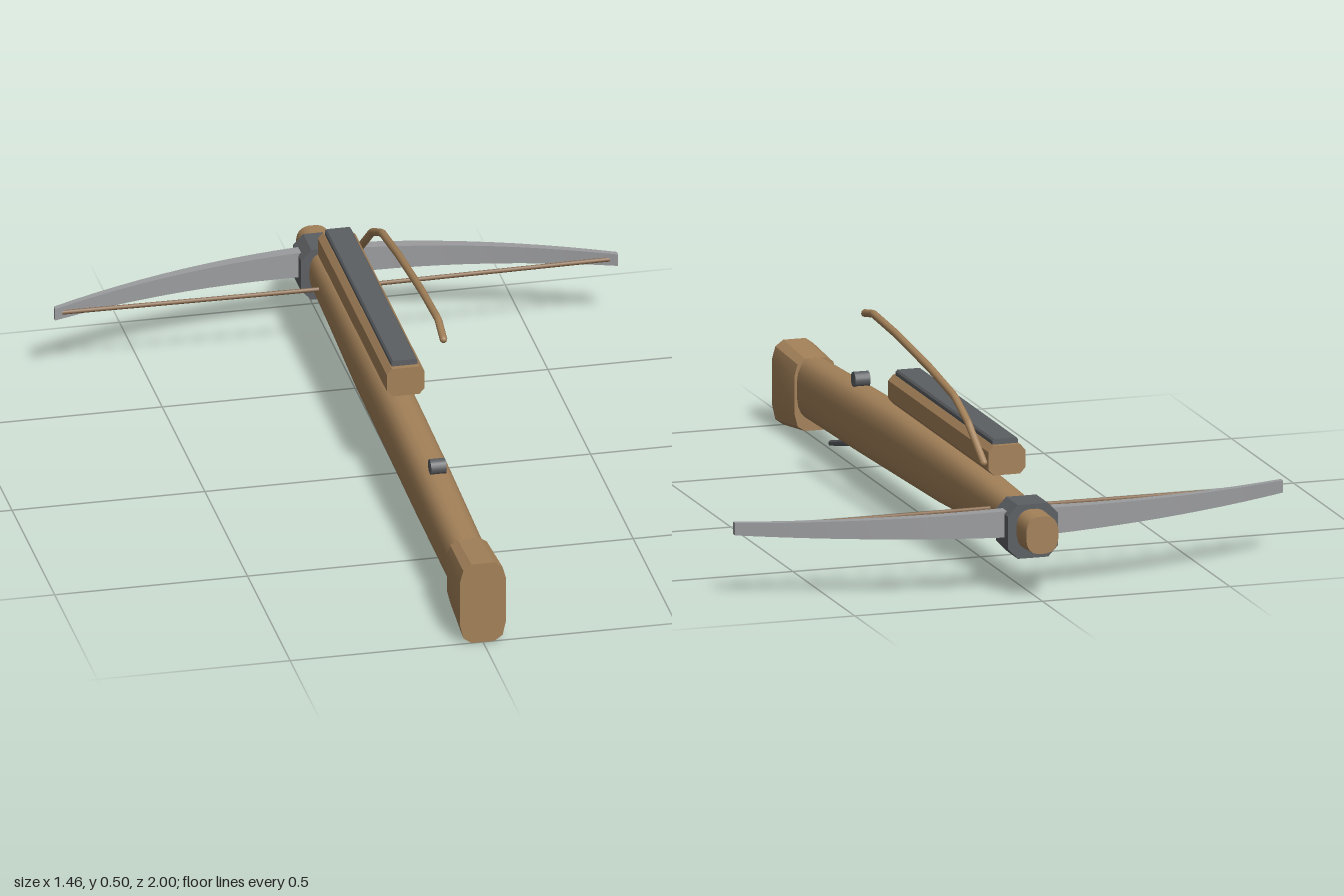
import * as THREE from 'three';
import { toCreasedNormals } from 'three/addons/utils/BufferGeometryUtils.js';

const mat = (color) => new THREE.MeshStandardMaterial({ color });

// Skin a closed solid over rings of [x, y, z]; rings run counter-clockwise seen from the first end
function loft(rings, crease = 0.6) {
  const n = rings[0].length, pos = [], idx = [];
  rings.forEach((r) => r.forEach((p) => pos.push(...p)));
  for (let i = 0; i < rings.length - 1; i++) {
    for (let j = 0; j < n; j++) {
      const a = i * n + j, b = i * n + (j + 1) % n;
      idx.push(a, a + n, b, b, a + n, b + n);
    }
  }
  const last = (rings.length - 1) * n;
  for (let j = 1; j < n - 1; j++) idx.push(0, j, j + 1, last, last + j + 1, last + j);
  const g = new THREE.BufferGeometry();
  g.setAttribute('position', new THREE.Float32BufferAttribute(pos, 3));
  g.setIndex(idx);
  return toCreasedNormals(g, crease);
}

// Place a unit outline (x -1..1, y 0..1) at each [z, halfWidth, bottom, top]
const alongZ = (outline, sections) => sections.map(([z, w, y0, y1]) =>
  outline.map(([x, y]) => [x * w, y0 + y * (y1 - y0), z]));

// Mirror the right half of an outline (bottom to top) to close it
const mirrored = (half) => [...half, ...half.map(([x, y]) => [-x, y]).reverse()];

const octagon = (cx, cy) => mirrored([[1 - cx, 0], [1, cy], [1, 1 - cy], [1 - cx, 1]]);

function rounded(count, power) {
  const e = 2 / power;
  return Array.from({ length: count }, (_, i) => {
    const a = ((i + 0.5) / count) * Math.PI * 2, c = Math.cos(a), s = Math.sin(a);
    return [Math.sign(c) * Math.abs(c) ** e, 0.5 + 0.5 * Math.sign(s) * Math.abs(s) ** e];
  });
}

export function createModel() {
  const group = new THREE.Group();
  const wood = mat(0xa38159), iron = mat(0x5c5f62), steel = mat(0x9b9c9e);
  const cord = mat(0x86674a);
  const add = (name, geometry, material) => {
    const mesh = new THREE.Mesh(geometry, material);
    mesh.name = name;
    group.add(mesh);
    return mesh;
  };

  // Long tapering stock
  add('stock', loft(alongZ(rounded(20, 2.7), [
    [0.86, 0.05, 0.055, 0.213], [0.4, 0.053, 0.066, 0.232], [0.1, 0.053, 0.075, 0.242],
    [-0.25, 0.053, 0.086, 0.245], [-0.6, 0.048, 0.105, 0.238], [-0.85, 0.045, 0.118, 0.23],
    [-1, 0.043, 0.127, 0.225],
  ])), wood);

  // Deep flared butt
  const buttOutline = mirrored([[0.5, 0], [0.85, 0.07], [1, 0.25], [1, 0.78], [0.85, 0.93], [0.5, 1]]);
  add('butt', loft(alongZ(buttOutline, [[1, 0.06, 0.004, 0.225], [0.83, 0.056, 0.026, 0.214]]), 0.4), wood);

  // Iron collar that holds the bow
  add('bowCollar', loft(alongZ(octagon(0.4, 0.2), [[-0.83, 0.067, 0.1, 0.24], [-0.925, 0.067, 0.1, 0.24]]), 0.3), iron);

  // Curved bow, thinning toward its tips
  const bowRings = [];
  for (let i = 0; i <= 24; i++) {
    const t = 1 - i / 12, k = Math.abs(t);
    const z = -0.88 + 0.157 * t * t, dz = 0.018 - 0.01 * k, dy = 0.036 - 0.02 * k;
    bowRings.push([[1, -1], [-1, -1], [-1, 1], [1, 1]].map(([sz, sy]) =>
      [0.73 * t, 0.185 + sy * dy, z + sz * dz]));
  }
  add('bow', loft(bowRings), steel);

  // String, drawn slightly back at the middle
  const string = new THREE.CurvePath();
  const nock = (s) => new THREE.Vector3(s * 0.71, 0.184, -0.727);
  const middle = new THREE.Vector3(0, 0.184, -0.716);
  string.add(new THREE.LineCurve3(nock(-1), middle));
  string.add(new THREE.LineCurve3(middle, nock(1)));
  add('bowString', new THREE.TubeGeometry(string, 16, 0.006, 8), cord);

  // Bolt magazine with its dark lid
  add('magazine', loft(alongZ(octagon(0.28, 0.2), [[0.095, 0.049, 0.268, 0.345], [-0.714, 0.049, 0.268, 0.345]]), 0.3), wood);
  add('magazineLid', loft(alongZ(octagon(0.12, 0.25), [[0.08, 0.034, 0.338, 0.36], [-0.7, 0.034, 0.338, 0.36]]), 0.3), iron);

  // Cocking lever bent along the left side
  const leverPath = new THREE.CurvePath();
  const bends = [
    [0.057, 0.3, -0.7], [0.069, 0.385, -0.61], [0.072, 0.43, -0.51], [0.073, 0.458, -0.32],
    [0.074, 0.485, -0.05], [0.074, 0.495, 0.14], [0.07, 0.478, 0.22],
  ].map((p) => new THREE.Vector3(...p));
  for (let i = 1; i < bends.length; i++) leverPath.add(new THREE.LineCurve3(bends[i - 1], bends[i]));
  add('lever', new THREE.TubeGeometry(leverPath, 60, 0.01, 8), wood);
  [bends[0], bends[bends.length - 1]].forEach((p) =>
    add('leverEnd', new THREE.SphereGeometry(0.01, 8, 6), wood).position.copy(p));

  // Release nut across the top of the stock
  const nut = add('releaseNut', new THREE.CylinderGeometry(0.02, 0.02, 0.04, 16), iron);
  nut.rotation.z = Math.PI / 2;
  nut.position.set(0, 0.244, 0.465);

  // Slanted trigger bar under the stock
  add('trigger', loft(alongZ(octagon(0.3, 0.3), [[0.693, 0.011, 0.018, 0.032], [0.5, 0.011, 0.062, 0.08]]), 0.3), iron);

  return group;
}
